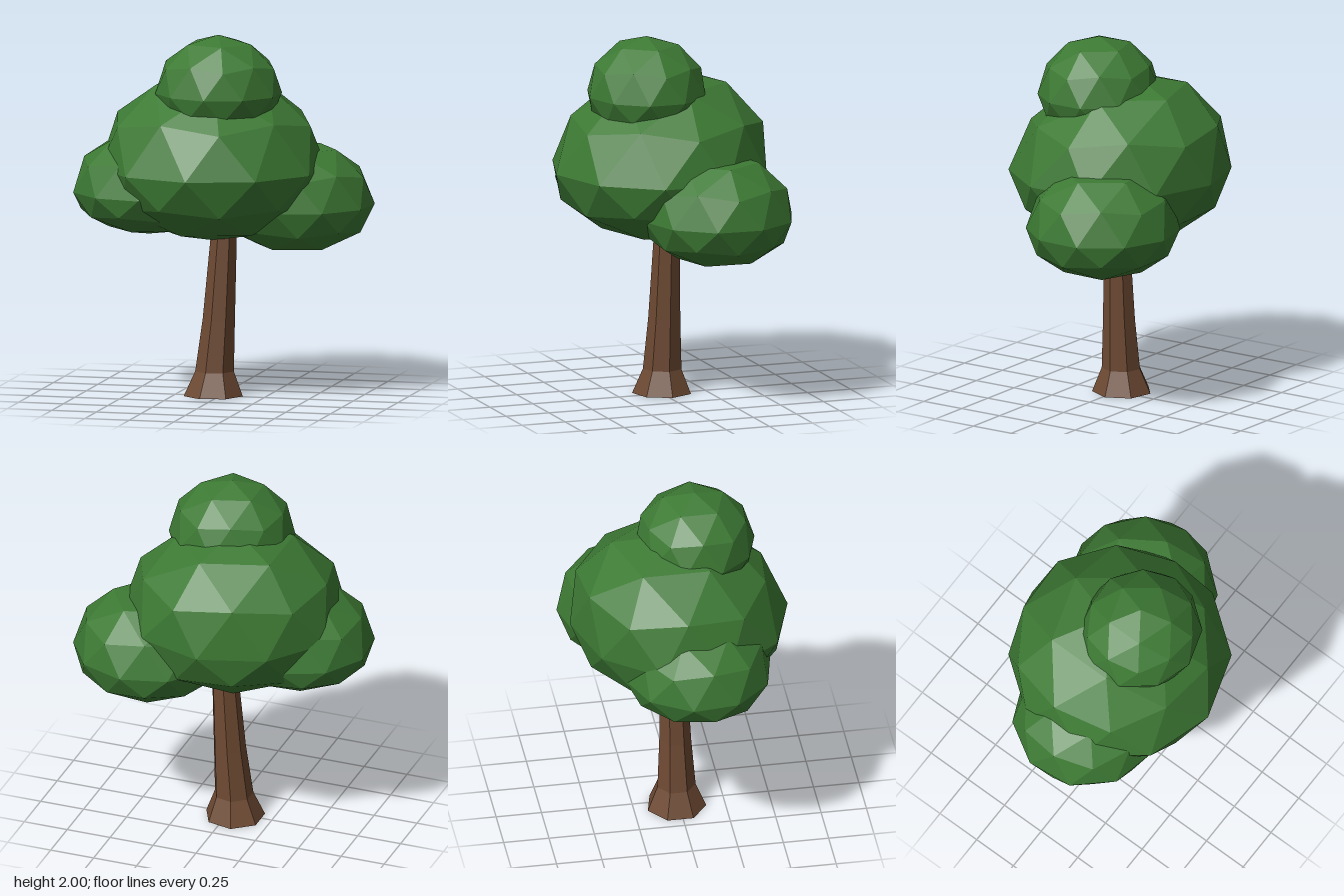
import * as THREE from 'three';

const leafMat = new THREE.MeshStandardMaterial({ color: 0x3d7a34, flatShading: true });
const barkMat = new THREE.MeshStandardMaterial({ color: 0x6e4a33, flatShading: true });

// Faceted leaf clump: an icosphere standing on a vertex, with a flatter underside.
// lean shifts the crown sideways, pole below 1 blunts the top and bottom tips.
function leafClump(name, { at, rx, rz, up, down, yaw = 0, lean = [0, 0], pole = 1 }) {
  const geo = new THREE.IcosahedronGeometry(1, 1);
  geo.rotateX(-Math.atan((1 + Math.sqrt(5)) / 2));
  geo.rotateY(Math.PI / 2 + yaw);
  const p = geo.attributes.position;
  for (let i = 0; i < p.count; i++) {
    const h = THREE.MathUtils.clamp(p.getY(i), -pole, pole);
    const crown = Math.max(h, 0);
    p.setXYZ(i,
      p.getX(i) * rx + lean[0] * crown,
      h * (h > 0 ? up : down),
      p.getZ(i) * rz + lean[1] * crown);
  }
  geo.computeVertexNormals();
  const mesh = new THREE.Mesh(geo, leafMat);
  mesh.name = name;
  mesh.position.set(...at);
  return mesh;
}

// Loft through rings of [x, y, z, radius], capped at both ends
function loft(rings, sides) {
  const pos = [], idx = [];
  for (const [x, y, z, r] of rings) {
    for (let i = 0; i < sides; i++) {
      const a = (i / sides) * Math.PI * 2;
      pos.push(x + r * Math.cos(a), y, z + r * Math.sin(a));
    }
  }
  for (let k = 0; k < rings.length - 1; k++) {
    for (let i = 0; i < sides; i++) {
      const j = (i + 1) % sides, a = k * sides, b = a + sides;
      idx.push(a + i, b + i, b + j, a + i, b + j, a + j);
    }
  }
  const top = (rings.length - 1) * sides;
  for (let i = 1; i < sides - 1; i++) {
    idx.push(0, i, i + 1, top, top + i + 1, top + i);
  }
  const geo = new THREE.BufferGeometry();
  geo.setAttribute('position', new THREE.Float32BufferAttribute(pos, 3));
  geo.setIndex(idx);
  const flat = geo.toNonIndexed();
  flat.computeVertexNormals();
  return flat;
}

export function createModel() {
  const tree = new THREE.Group();
  tree.name = 'tree';

  // Leaning trunk with a flared foot
  const trunk = new THREE.Mesh(loft([
    [-0.04, 0, -0.015, 0.165],
    [-0.033, 0.135, -0.015, 0.108],
    [-0.01, 0.42, -0.018, 0.09],
    [0.018, 0.9, -0.022, 0.072],
    [0.02, 1.05, -0.022, 0.066],
  ], 7), barkMat);
  trunk.name = 'trunk';

  // Canopy of four overlapping clumps
  const canopy = new THREE.Group();
  canopy.name = 'canopy';
  canopy.add(
    leafClump('mainClump', {
      at: [-0.04, 1.255, 0], rx: 0.62, rz: 0.6, up: 0.54, down: 0.4, lean: [-0.03, -0.07],
    }),
    leafClump('topClump', {
      at: [0.018, 1.68, 0.097], rx: 0.347, rz: 0.33, up: 0.32, down: 0.24,
    }),
    leafClump('rightClump', {
      at: [-0.385, 1.12, 0.045], rx: 0.42, rz: 0.41, up: 0.35, down: 0.235, yaw: 0.1,
    }),
    leafClump('leftClump', {
      at: [0.385, 1.045, -0.182], rx: 0.425, rz: 0.418, up: 0.36, down: 0.27, yaw: -0.05, pole: 0.88,
    }),
  );

  tree.add(trunk, canopy);
  return tree;
}
